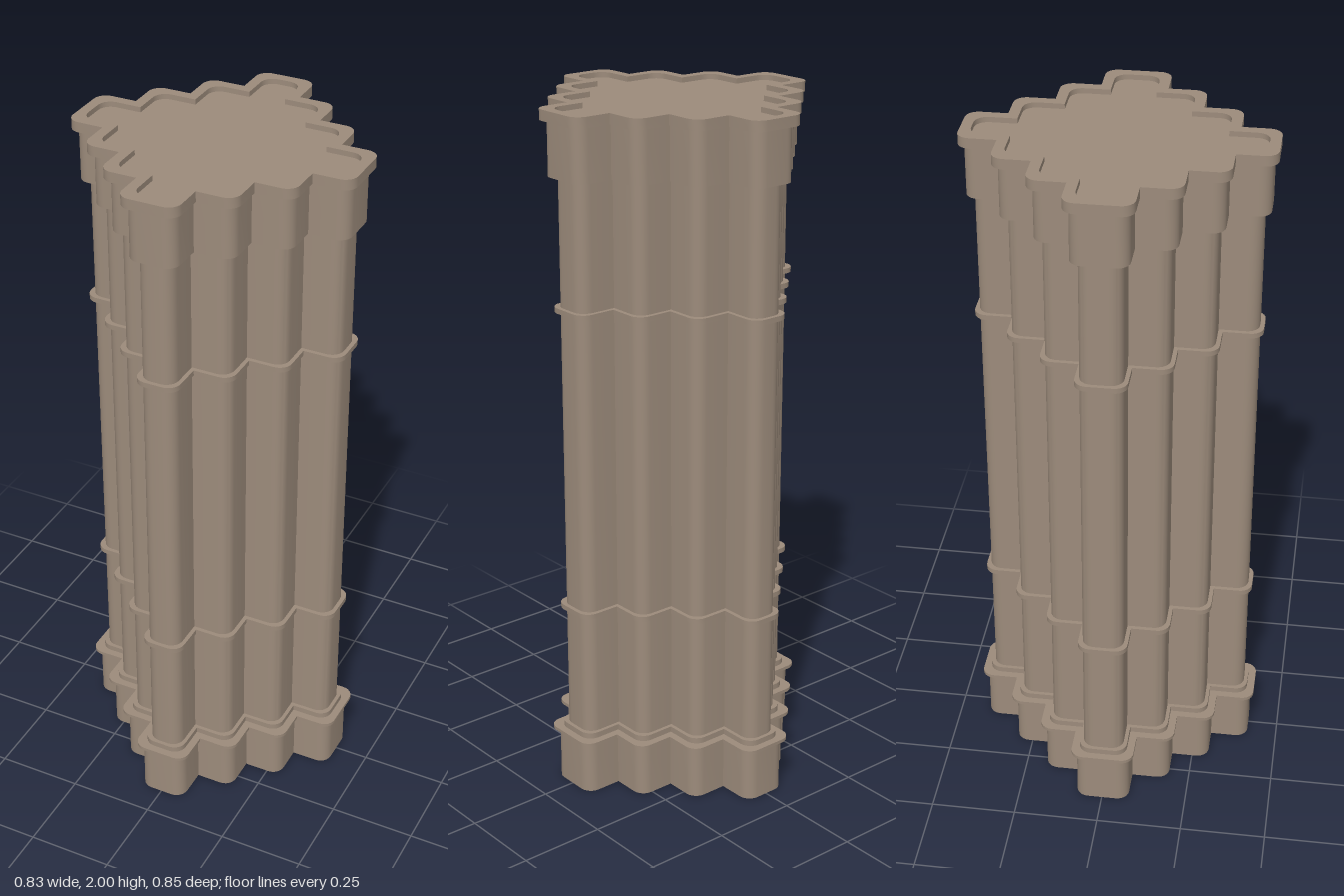
import * as THREE from 'three';
import { toCreasedNormals } from 'three/addons/utils/BufferGeometryUtils.js';

const stone = new THREE.MeshStandardMaterial({ color: 0x9c8b7b });
stone.name = 'warm stone';

// Convex corners of the stepped plan in one quadrant
const CORNERS = [[0.381, 0.06], [0.271, 0.17], [0.161, 0.28], [0.051, 0.391]];
const RADIUS = 0.036;
const ARC_STEPS = 6;

// Stepped cross outline grown by an offset: rounded outer corners, sharp inner ones
function outline(offset) {
  const quadrant = [];
  CORNERS.forEach(([cx, cz], i) => {
    const x = cx + offset, z = cz + offset;
    for (let k = 0; k <= ARC_STEPS; k++) {
      const a = (k / ARC_STEPS) * Math.PI / 2;
      quadrant.push([x - RADIUS + RADIUS * Math.cos(a), z - RADIUS + RADIUS * Math.sin(a)]);
    }
    if (i < CORNERS.length - 1) quadrant.push([CORNERS[i + 1][0] + offset, z]);
  });
  const points = [];
  for (const [sx, sz] of [[1, 1], [-1, 1], [-1, -1], [1, -1]]) {
    const part = sx * sz > 0 ? quadrant : [...quadrant].reverse();
    part.forEach(([x, z]) => points.push(new THREE.Vector2(x * sx, z * sz)));
  }
  return points;
}

// Horizontal slab of the plan between two heights, hollow when inner is given
function layer(name, y0, y1, outer, inner = null) {
  const shape = new THREE.Shape(outline(outer));
  if (inner !== null) shape.holes.push(new THREE.Path(outline(inner)));
  const geometry = new THREE.ExtrudeGeometry(shape, { depth: y1 - y0, bevelEnabled: false });
  geometry.rotateX(-Math.PI / 2);
  geometry.translate(0, y0, 0);
  const mesh = new THREE.Mesh(toCreasedNormals(geometry, 0.5), stone);
  mesh.name = name;
  return mesh;
}

export function createModel() {
  const pillar = new THREE.Group();
  pillar.name = 'pillar';
  pillar.add(
    // Hollow base, open underneath
    layer('base', 0, 0.158, 0.019, 0.002),
    layer('baseFlange', 0.158, 0.168, 0.033, -0.012),
    layer('baseMoulding', 0.168, 0.185, 0.011, -0.006),
    // Shaft with two thin bands
    layer('shaft', 0.168, 1.975, 0, -0.012),
    layer('lowerBand', 0.553, 0.568, 0.012, -0.006),
    layer('upperBand', 1.442, 1.457, 0.012, -0.006),
    // Capital, raised rim and sunken top
    layer('capital', 1.818, 1.97, 0.019, -0.006),
    layer('topRim', 1.97, 2, 0.033, 0.003),
    layer('topPlate', 1.97, 1.985, 0.006),
  );
  return pillar;
}
